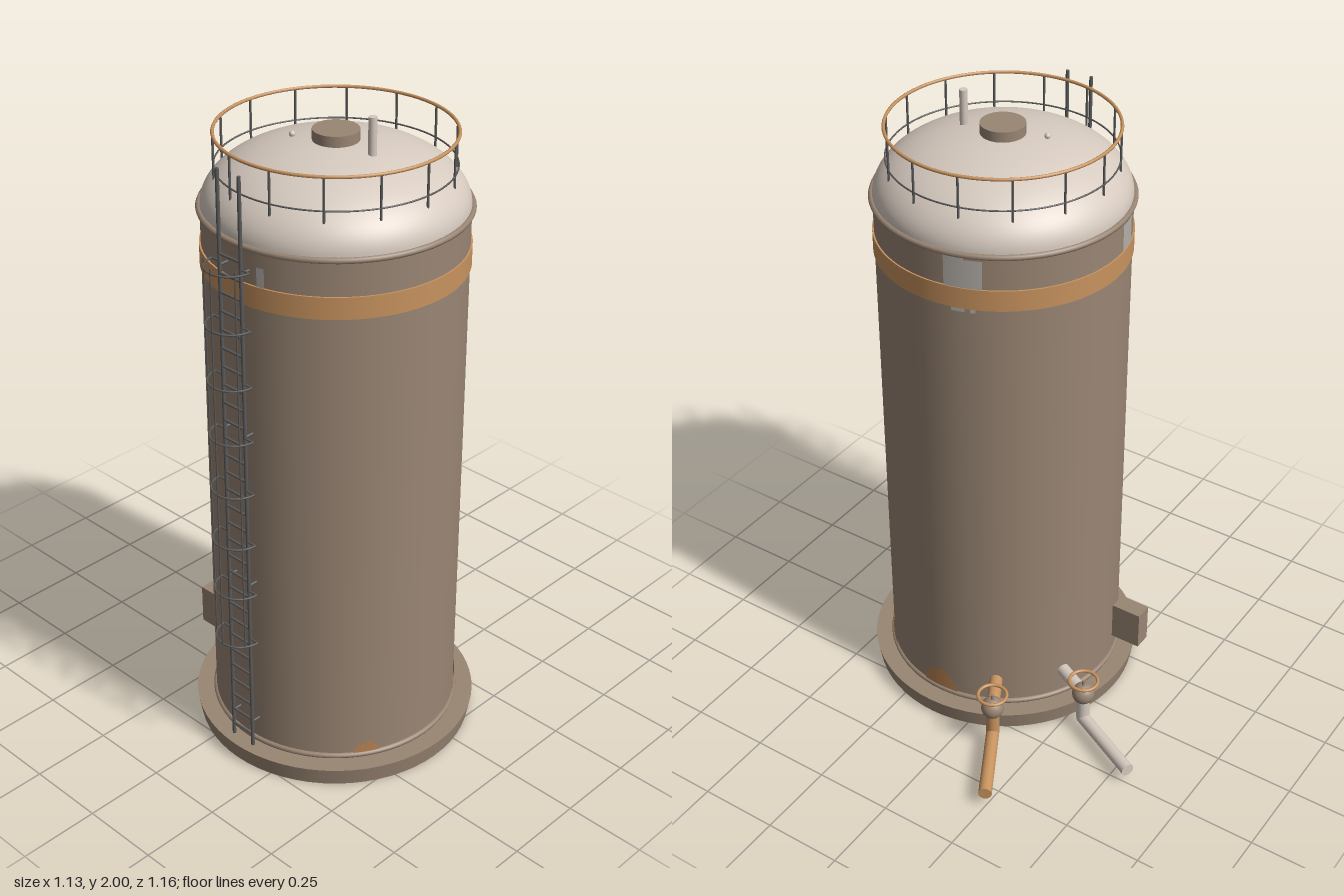
import * as THREE from 'three';

const paint = (name, color, side = THREE.FrontSide) => {
  const m = new THREE.MeshStandardMaterial({ color, side });
  m.name = name;
  return m;
};

export function createModel() {
  const brown = paint('weathered brown', 0x9a8674);
  const cream = paint('pale cream', 0xd6cabf);
  const copper = paint('copper rust', 0xc8935f);
  const steel = paint('dark steel', 0x5c5c5c);
  const rust = paint('rust stain', 0xb98352, THREE.DoubleSide);
  const bare = paint('bare metal', 0xb5b0aa, THREE.DoubleSide);

  const model = new THREE.Group();
  model.name = 'storageTank';
  const tank = new THREE.Group();
  tank.name = 'tank';
  tank.position.set(0.127, 0, 0.1); // the tank axis sits off the overall centre
  model.add(tank);

  const add = (name, geometry, material, x = 0, y = 0, z = 0, parent = tank) => {
    const mesh = new THREE.Mesh(geometry, material);
    mesh.name = name;
    mesh.position.set(x, y, z);
    parent.add(mesh);
    return mesh;
  };
  const cyl = (name, rTop, rBottom, y0, y1, material, x = 0, z = 0, parent = tank, sides = 64) =>
    add(name, new THREE.CylinderGeometry(rTop, rBottom, y1 - y0, sides), material, x, (y0 + y1) / 2, z, parent);
  const ring = (name, radius, tube, y, material, x = 0, z = 0, parent = tank) => {
    const mesh = add(name, new THREE.TorusGeometry(radius, tube, 8, 72), material, x, y, z, parent);
    mesh.rotation.x = Math.PI / 2;
    return mesh;
  };
  // Round bar between two points
  const bar = (name, a, b, radius, material, parent = tank, sides = 8) => {
    const from = new THREE.Vector3(...a), to = new THREE.Vector3(...b);
    const mesh = add(name, new THREE.CylinderGeometry(radius, radius, from.distanceTo(to), sides), material, 0, 0, 0, parent);
    mesh.position.copy(from).add(to).multiplyScalar(0.5);
    mesh.quaternion.setFromUnitVectors(new THREE.Vector3(0, 1, 0), to.sub(from).normalize());
    return mesh;
  };

  // Plinth, shell, flanges and painted band
  cyl('plinth', 0.437, 0.427, 0, 0.058, brown);
  cyl('shell', 0.376, 0.376, 0.058, 1.72, brown, 0, 0, tank, 96);
  ring('lowerFlange', 0.376, 0.009, 0.067, brown);
  ring('upperFlange', 0.379, 0.009, 1.716, brown);
  add('band', new THREE.CylinderGeometry(0.381, 0.381, 0.065, 96), copper, 0, 1.578, 0);

  // Domed roof with a hatch, vent and small fitting
  const domeR = 0.376, domeH = 0.185;
  const profile = [];
  for (let i = 0; i <= 24; i++) {
    const t = (i / 24) * Math.PI / 2;
    profile.push(new THREE.Vector2(i === 24 ? 0 : domeR * Math.cos(t), 1.72 + domeH * Math.sin(t)));
  }
  add('domeRoof', new THREE.LatheGeometry(profile, 96), cream);
  cyl('hatch', 0.066, 0.066, 1.88, 1.933, brown, 0, 0, tank, 40);
  cyl('ventPipe', 0.012, 0.012, 1.87, 2, cream, 0.132, -0.003, tank, 16);
  add('roofFitting', new THREE.SphereGeometry(0.009, 12, 8), cream, -0.115, 1.9, 0.053);

  // Guard rail round the roof
  const railR = 0.335;
  ring('topRail', railR, 0.005, 1.93, copper);
  ring('midRail', railR, 0.0025, 1.835, steel);
  for (let i = 0; i < 14; i++) {
    const a = (i / 14) * Math.PI * 2;
    cyl('railPost', 0.0035, 0.0035, 1.8, 1.93, steel, railR * Math.cos(a), railR * Math.sin(a), tank, 8);
  }

  // Ladder with rungs, wall brackets and safety cage
  const ladder = new THREE.Group();
  ladder.name = 'ladder';
  tank.add(ladder);
  const ladderZ = 0.402, half = 0.041;
  for (const s of [-1, 1]) {
    cyl('ladderRail', 0.0055, 0.0055, 0.06, 1.925, steel, s * half, ladderZ, ladder, 8);
    for (const y of [0.15, 0.65, 1.15, 1.65]) {
      bar('ladderBracket', [s * half, y, 0.37], [s * half, y, ladderZ], 0.004, steel, ladder);
    }
  }
  for (let i = 0; i < 29; i++) {
    const y = 0.1 + i * 0.0565;
    bar('rung', [-half, y, ladderZ], [half, y, ladderZ], 0.004, steel, ladder);
  }
  const cageR = 0.072;
  for (let i = 0; i < 8; i++) {
    const hoop = add('cageHoop', new THREE.TorusGeometry(cageR, 0.003, 6, 24, Math.PI), steel, 0, 0.46 + i * 0.1715, ladderZ, ladder);
    hoop.rotation.x = Math.PI / 2;
    for (const s of [-1, 1]) {
      bar('hoopEnd', [s * cageR, hoop.position.y, ladderZ], [s * half, hoop.position.y, ladderZ], 0.003, steel, ladder, 6);
    }
  }
  for (const deg of [33, 90, 147]) {
    const a = THREE.MathUtils.degToRad(deg);
    cyl('cageBar', 0.0025, 0.0025, 0.46, 1.675, steel, cageR * Math.cos(a), ladderZ + cageR * Math.sin(a), ladder, 6);
  }

  // Control box on the right side
  add('controlBox', new THREE.BoxGeometry(0.1, 0.13, 0.057), brown, -0.417, 0.195, 0.11);

  // Outlet pipe with ball valve and handwheel; local +x points away from the tank
  const outlet = (name, degrees, material) => {
    const g = new THREE.Group();
    g.name = name;
    g.rotation.y = THREE.MathUtils.degToRad(degrees);
    tank.add(g);
    const r = 0.021, at = 0.5, high = 0.155, low = 0.05;
    bar('outletStub', [0.36, high, 0], [at, high, 0], r, material, g, 20);
    bar('downPipe', [at, low, 0], [at, high, 0], r, material, g, 20);
    add('pipeElbow', new THREE.SphereGeometry(r, 20, 12), material, at, low, 0, g);
    bar('drainPipe', [at, low, 0], [0.768, low, 0], r, material, g, 20);
    add('valveBall', new THREE.SphereGeometry(0.036, 24, 16), brown, at, high, 0, g);
    cyl('valveStem', 0.005, 0.005, high, 0.208, brown, at, 0, g, 10);
    ring('handwheel', 0.045, 0.0055, 0.208, copper, at, 0, g);
  };
  outlet('rearOutlet', 119.2, copper);
  outlet('sideOutlet', 153.4, cream);

  // Thin curved stain on the shell; direction (x, z), heights given by top(u), u in -1..1
  const stain = (name, x, z, width, bottom, top, material) => {
    const steps = 20, r = 0.3785, pos = [], nor = [], index = [];
    const mid = Math.atan2(x, z);
    for (let i = 0; i <= steps; i++) {
      const u = (i / steps) * 2 - 1, a = mid + (u * width) / 2 / r;
      for (const y of [bottom, top(u)]) {
        pos.push(r * Math.sin(a), y, r * Math.cos(a));
        nor.push(Math.sin(a), 0, Math.cos(a));
      }
      if (i < steps) index.push(2 * i, 2 * i + 2, 2 * i + 1, 2 * i + 1, 2 * i + 2, 2 * i + 3);
    }
    const geo = new THREE.BufferGeometry();
    geo.setAttribute('position', new THREE.Float32BufferAttribute(pos, 3));
    geo.setAttribute('normal', new THREE.Float32BufferAttribute(nor, 3));
    geo.setIndex(index);
    add(name, geo, material);
  };
  const hump = (h) => (u) => 0.07 + h * Math.pow(Math.max(0, 1 - u * u), 0.6) * (1 + 0.12 * Math.sin(u * 7));
  stain('rustPatch', 0.0, -1, 0.13, 0.065, hump(0.075), rust);
  stain('rustPatch', 0.75, -0.66, 0.14, 0.065, hump(0.065), rust);
  stain('rustPatch', 0.855, 0.52, 0.085, 0.065, hump(0.04), rust);

  // Bare patches where paint has worn off near the band
  const flat = (y) => () => y;
  stain('wornPaint', -0.36, -0.935, 0.055, 1.6, flat(1.7), bare);
  stain('wornPaint', -0.22, -0.975, 0.06, 1.6, flat(1.705), bare);
  stain('wornPaintDrip', -0.25, -0.965, 0.04, 1.533, flat(1.55), bare);
  stain('wornPaintDrip', -0.36, -0.935, 0.015, 1.533, flat(1.55), bare);
  stain('wornPaint', -0.965, 0.22, 0.07, 1.6, flat(1.695), bare);
  stain('wornPaint', 0.21, 0.977, 0.024, 1.6, flat(1.667), bare);

  return model;
}
